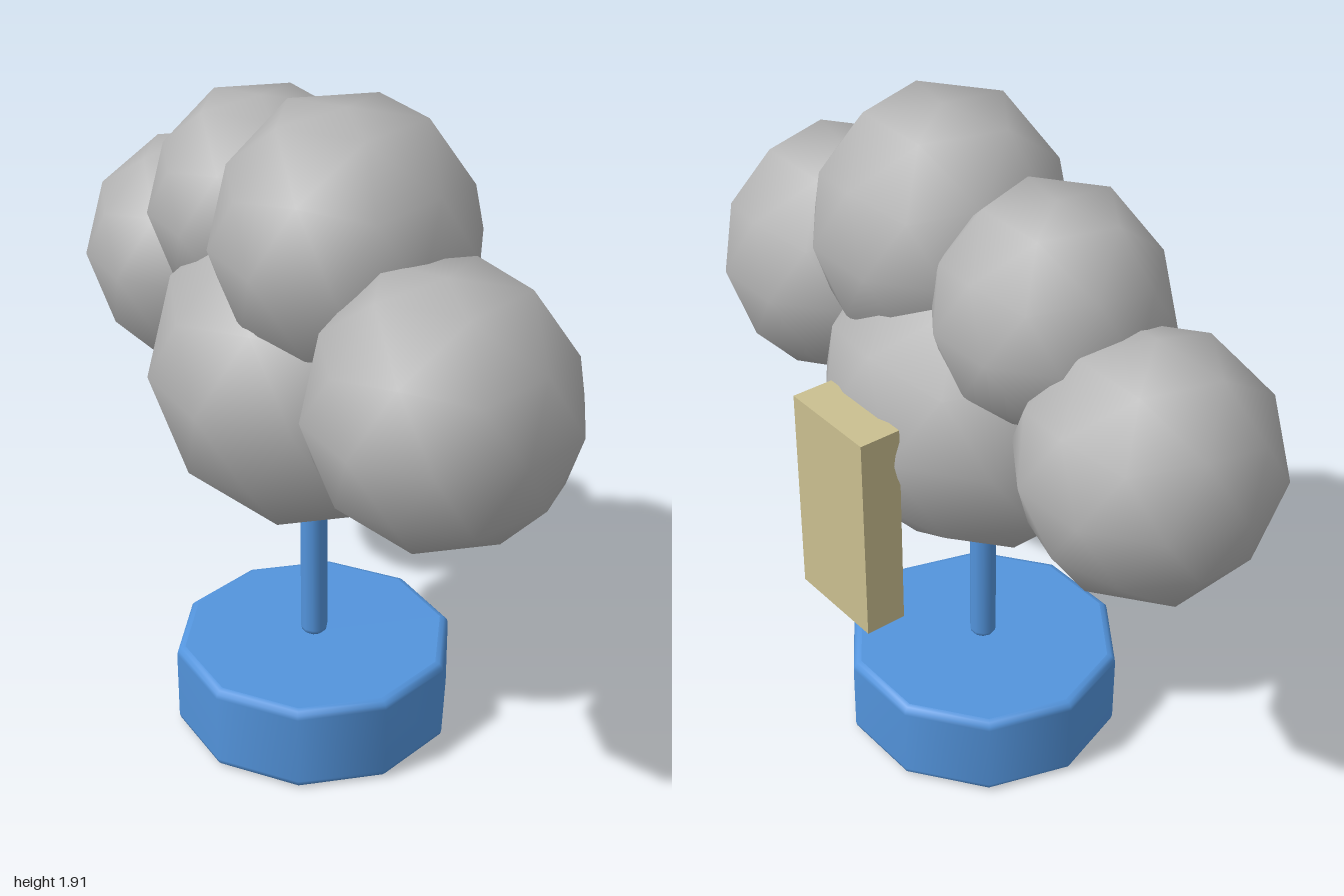
import * as THREE from 'three';
import { mergeVertices } from 'three/addons/utils/BufferGeometryUtils.js';

const foliage = new THREE.MeshStandardMaterial({ color: 0xb4b4b4 });
foliage.name = 'pale grey';
const blue = new THREE.MeshStandardMaterial({ color: 0x5394dc });
blue.name = 'blue';
const tan = new THREE.MeshStandardMaterial({ color: 0xcabf90 });
tan.name = 'tan';

const AXIS_X = -0.04;

// Low-poly ball with a vertex at each pole; flat = +1 or -1 blunts that pole
function ball(r, flat = 0) {
  let g = new THREE.IcosahedronGeometry(1, 1);
  g.rotateX(-Math.atan((1 + Math.sqrt(5)) / 2));
  g.rotateY(-Math.PI / 2);
  g.deleteAttribute('uv');
  g.deleteAttribute('normal');
  g = mergeVertices(g, 1e-4);
  const p = g.attributes.position;
  const v = new THREE.Vector3();
  for (let i = 0; i < p.count; i++) {
    v.fromBufferAttribute(p, i);
    const h = v.y * flat;
    if (h > 0.95) v.multiplyScalar(0.97);
    else if (h > 0.7) v.multiplyScalar(1.07);
    p.setXYZ(i, v.x * r, v.y * r, v.z * r);
  }
  g.computeVertexNormals();
  return g;
}

// Turned solid with rounded rims and crisp caps
function roundedDrum(r, y0, y1, bevel, sides) {
  const pts = [new THREE.Vector2(0, y0), new THREE.Vector2(r - bevel, y0)];
  for (let i = 0; i <= 3; i++) {
    const a = (i / 3) * Math.PI / 2;
    pts.push(new THREE.Vector2(r - bevel + bevel * Math.sin(a), y0 + bevel - bevel * Math.cos(a)));
  }
  for (let i = 0; i <= 3; i++) {
    const a = (i / 3) * Math.PI / 2;
    pts.push(new THREE.Vector2(r - bevel + bevel * Math.cos(a), y1 - bevel + bevel * Math.sin(a)));
  }
  pts.push(new THREE.Vector2(r - bevel, y1), new THREE.Vector2(0, y1));
  return new THREE.LatheGeometry(pts, sides);
}

export function createModel() {
  const model = new THREE.Group();
  const add = (name, geometry, material, x, y, z) => {
    const mesh = new THREE.Mesh(geometry, material);
    mesh.name = name;
    mesh.position.set(x, y, z);
    model.add(mesh);
  };

  // Base and trunk
  add('base', roundedDrum(0.405, 0, 0.26, 0.025, 10), blue, AXIS_X, 0, 0);
  add('trunk', roundedDrum(0.039, 0.265, 0.8, 0.02, 10), blue, AXIS_X, 0, 0);

  // Foliage clumps: name, radius, y, z, blunted pole
  const clumps = [
    ['mainClump', 0.452, 1.135, 0, 0],
    ['frontClump', 0.357, 1.278, 0.643, 1],
    ['upperFrontClump', 0.36, 1.556, 0.177, 1],
    ['upperBackClump', 0.32, 1.5, -0.275, 1],
    ['backClump', 0.349, 1.248, -0.651, -1],
  ];
  for (const [name, r, y, z, flat] of clumps) {
    add(name, ball(r, flat), foliage, AXIS_X, y, z);
  }

  // Upright panel on the left side
  add('sidePanel', new THREE.BoxGeometry(0.12, 0.61, 0.3), tan, 0.42, 0.935, -0.005);

  return model;
}
